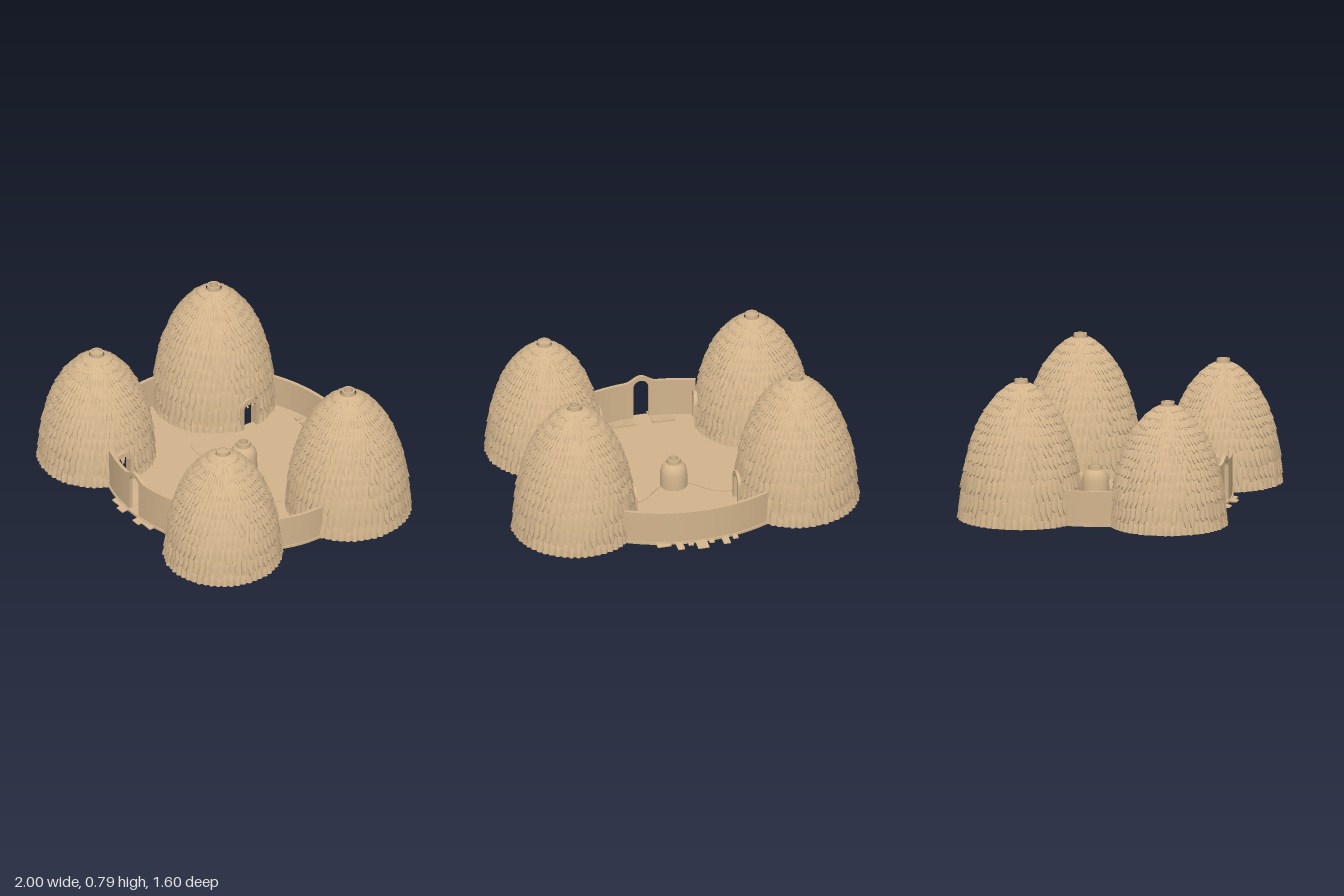
import * as THREE from 'three';
import { toCreasedNormals } from 'three/addons/utils/BufferGeometryUtils.js';

const clay = new THREE.MeshStandardMaterial({ color: 0xd2b48c });
const CZ = -0.045, RX = 0.8, RZ = 0.685; // courtyard ellipse
const HUTS = [];
for (const s of [-1, 1]) {
  HUTS.push({ x: s * 0.64, z: -0.38, R: 0.345, H: 0.77, top: 0.79, open: true, s, turn: 0 });
  HUTS.push({ x: s * 0.6, z: 0.46, R: 0.325, H: 0.68, top: 0.7, open: false, s, turn: 0.15 });
}

function hash(a, b, c) {
  const v = Math.sin(a * 12.9898 + b * 78.233 + c * 37.719) * 43758.5453;
  return v - Math.floor(v);
}

function part(name, geometry, parent) {
  const m = new THREE.Mesh(geometry, clay);
  m.name = name;
  parent.add(m);
  return m;
}

// Closed surface of revolution with a free rule: at(row, col) gives [radius, y]
function roundGrid(rows, cols, at, skip, inward) {
  const pos = [], idx = [];
  for (let i = 0; i < rows; i++) for (let j = 0; j < cols; j++) {
    const [r, y] = at(i, j), a = ((j + 0.5) / cols) * Math.PI * 2;
    pos.push(r * Math.sin(a), y, r * Math.cos(a));
  }
  for (let i = 0; i < rows - 1; i++) for (let j = 0; j < cols; j++) {
    if (skip(i, j)) continue;
    const k = (j + 1) % cols;
    const a = i * cols + j, b = i * cols + k, c = a + cols, d = b + cols;
    if (inward) idx.push(a, d, b, a, c, d);
    else idx.push(a, b, d, a, d, c);
  }
  const g = new THREE.BufferGeometry();
  g.setAttribute('position', new THREE.Float32BufferAttribute(pos, 3));
  g.setIndex(idx);
  return toCreasedNormals(g, 0.6);
}

// Beehive outline: height fraction to radius fraction
const OUTLINE = [[0, 1], [0.26, 0.955], [0.39, 0.905], [0.52, 0.835], [0.65, 0.74], [0.78, 0.605], [0.91, 0.39], [0.97, 0.24], [1, 0.13]];
function outline(t) {
  for (let i = 1; i < OUTLINE.length; i++) {
    const [t0, r0] = OUTLINE[i - 1], [t1, r1] = OUTLINE[i];
    if (t <= t1) return r0 + (r1 - r0) * (t - t0) / (t1 - t0);
  }
  return OUTLINE[OUTLINE.length - 1][1];
}

const TIERS = [0, 0.13, 0.26, 0.37, 0.46, 0.54, 0.61, 0.68, 0.74, 0.8, 0.86, 0.92, 0.97, 1];

function archShape(w, h) {
  const s = new THREE.Shape();
  s.moveTo(-w, 0);
  s.lineTo(w, 0);
  s.lineTo(w, h - w);
  s.absarc(0, h - w, w, 0, Math.PI, false);
  s.lineTo(-w, 0);
  return s;
}

function makeHut(h, seed) {
  const g = new THREE.Group();
  g.name = 'hut';
  const { R, H } = h, COLS = 168, doorH = 0.18;
  // Overlapping thatch tiers made of tufts with uneven ends
  const at = (i, j) => {
    const k = Math.floor(i / 3), step = i % 3;
    const t0 = TIERS[k], t1 = TIERS[k + 1] ?? 1;
    if (k >= TIERS.length - 1) return [R * 0.13, H];
    const tuft = Math.floor((j + k * 2) / 3) % 56, groove = (j + k * 2) % 3 === 2;
    const big = 0.45 + 0.55 * outline(t0);
    const out = (groove ? 0.002 : 0.008 + 0.008 * hash(tuft, k, seed)) * big;
    const drop = k === 0 || groove ? 0 : (0.1 + 0.55 * hash(tuft, k + 20, seed)) * (t1 - t0);
    const low = t0 - drop, mid = t0 + (t1 - t0) * 0.45;
    if (step === 0) return [R * outline(low) - 0.002, low * H];
    if (step === 1) return [R * outline(low) + out, low * H];
    return [R * outline(mid) + out * 0.6, mid * H];
  };
  const nearDoor = (j, n) => Math.abs(Math.sin(((j + 1) / n) * Math.PI)) < 0.085;
  part('thatch', roundGrid((TIERS.length - 1) * 3 + 1, COLS, at,
    (i, j) => nearDoor(j, COLS) && at(i + 1, j)[1] < doorH), g);
  // Inner lining
  part('lining', roundGrid(19, 64, i => [Math.max(R * outline(i / 18) - 0.035, 0.03), i / 18 * H],
    (i, j) => nearDoor(j, 64) && (i + 1) / 18 * H < doorH, true), g);
  part('footRing', new THREE.RingGeometry(R - 0.035, R + 0.006, 64).rotateX(Math.PI / 2), g);
  // Smoke hole collar
  const c = [[0.028, H - 0.02], [0.028, h.top], [0.037, h.top], [0.039, H - 0.01]].reverse();
  part('smokeCollar', toCreasedNormals(new THREE.LatheGeometry(c.map(p => new THREE.Vector2(...p)), 32), 0.5), g);
  if (!h.open) part('smokeCap', new THREE.CylinderGeometry(0.029, 0.029, 0.008, 24).translate(0, h.top - 0.012, 0), g);
  // Arched doorway
  const frame = archShape(0.062, 0.205);
  frame.holes.push(archShape(0.043, 0.18));
  part('doorFrame', toCreasedNormals(new THREE.ExtrudeGeometry(frame, { depth: 0.055, bevelEnabled: false, curveSegments: 10 })
    .translate(0, 0, R - 0.05), 0.5), g);
  // Only the left huts have a base under them
  if (h.s > 0) part('hutBase', new THREE.CircleGeometry(R, 48).rotateX(Math.PI / 2), g);
  g.position.set(h.x, 0, h.z);
  g.rotation.y = -h.s * (Math.PI / 2 - h.turn);
  return g;
}

// Wall ribbon following the ellipse; columns are [angle, bottom, top]
function wallRibbon(columns) {
  const pos = [], idx = [], T = 0.02;
  for (const [a, lo, hi] of columns) {
    const s = Math.sin(a), c = Math.cos(a);
    const o = [RX * s, CZ + RZ * c], n = [(RX - T) * s, CZ + (RZ - T) * c];
    pos.push(o[0], lo, o[1], o[0], hi, o[1], n[0], hi, n[1], n[0], lo, n[1]);
  }
  for (let i = 0; i < columns.length - 1; i++) for (let k = 0; k < 4; k++) {
    const a = 4 * i + k, b = 4 * i + (k + 1) % 4;
    idx.push(a, a + 4, b + 4, a, b + 4, b);
  }
  const g = new THREE.BufferGeometry();
  g.setAttribute('position', new THREE.Float32BufferAttribute(pos, 3));
  g.setIndex(idx);
  return toCreasedNormals(g, 0.5);
}

function arc(from, to, n) {
  return Array.from({ length: n + 1 }, (_, i) => [from + (to - from) * i / n, 0, 0.2]);
}

function frontColumns() {
  const W = 0.045, cols = [];
  const top = x => 0.24 + (Math.abs(x) < 0.09 ? 0.037 * Math.cos(x / 0.09 * Math.PI / 2) ** 2 : 0);
  const add = (x, lo) => cols.push([Math.asin(x / RX), lo, top(x)]);
  for (let i = 0; i <= 16; i++) add(-0.31 + (0.31 - W) * i / 16, 0);
  for (let i = 0; i <= 16; i++) {
    const x = -W * Math.cos(i / 16 * Math.PI);
    add(x, 0.205 + Math.sqrt(Math.max(0, W * W - x * x)));
  }
  for (let i = 0; i <= 16; i++) add(W + (0.31 - W) * i / 16, 0);
  return cols;
}

// Courtyard floor, cut away where the huts stand
function floorGeometry() {
  const pts = [];
  for (let i = 0; i < 240; i++) {
    const a = i / 240 * Math.PI * 2, dx = Math.cos(a), dz = -Math.sin(a);
    let r = 1 / Math.hypot(dx / (RX + 0.006), dz / (RZ + 0.008));
    for (const h of HUTS) {
      const b = dx * h.x + dz * (h.z - CZ), q = h.R - 0.03;
      const disc = b * b - (h.x ** 2 + (h.z - CZ) ** 2 - q * q);
      if (disc > 0 && b > 0) r = Math.min(r, b - Math.sqrt(disc));
    }
    pts.push(new THREE.Vector2(dx * r, -(CZ + dz * r)));
  }
  const s = new THREE.Shape(pts);
  s.holes.push(new THREE.Path().absarc(0, 0.12, 0.03, 0, Math.PI * 2, true));
  return new THREE.ExtrudeGeometry(s, { depth: 0.014, bevelEnabled: false }).rotateX(-Math.PI / 2);
}

export function createModel() {
  const root = new THREE.Group();
  root.name = 'hutCompound';
  HUTS.forEach((h, i) => root.add(makeHut(h, i + 1)));

  part('floor', floorGeometry(), root);
  part('frontWallWithGate', wallRibbon(frontColumns()), root);
  part('leftWall', wallRibbon(arc(1.22, 1.66, 12)), root);
  part('rightWall', wallRibbon(arc(-1.66, -1.22, 12)), root);
  part('backWall', wallRibbon(arc(Math.PI - 0.57, Math.PI + 0.57, 40)), root);

  // Oven in the yard
  const oven = [[0.078, 0.01], [0.076, 0.1], [0.07, 0.125], [0.056, 0.148], [0.04, 0.158], [0.038, 0.185], [0.028, 0.185], [0.028, 0.01]];
  part('oven', toCreasedNormals(new THREE.LatheGeometry(oven.map(p => new THREE.Vector2(...p)), 36), 0.6), root)
    .position.z = -0.12;

  // Leaf-shaped yard mats beside the oven
  for (const s of [-1, 1]) {
    const m = new THREE.Shape();
    m.moveTo(s * 0.06, 0.12);
    m.bezierCurveTo(s * 0.15, 0.17, s * 0.17, 0.27, s * 0.28, 0.27);
    m.bezierCurveTo(s * 0.46, 0.28, s * 0.45, -0.01, s * 0.27, -0.015);
    m.bezierCurveTo(s * 0.17, -0.015, s * 0.15, 0.07, s * 0.06, 0.12);
    part('yardMat', new THREE.ExtrudeGeometry(m, { depth: 0.006, bevelEnabled: false, curveSegments: 16 })
      .rotateX(-Math.PI / 2).translate(0, 0.013, 0), root);
  }

  // Low sloping slabs at the wall foot: x, outer z, width
  for (const [x, z, w] of [[-0.2, -0.75, 0.03], [-0.14, -0.79, 0.04], [-0.06, -0.76, 0.03], [0, -0.806, 0.065], [0.06, -0.76, 0.03],
    [0.125, -0.79, 0.04], [0.21, -0.74, 0.08], [-0.075, 0.685, 0.055], [0.075, 0.685, 0.055], [-0.14, 0.66, 0.08], [0.14, 0.66, 0.08]]) {
    const inner = Math.sign(z) * 0.58 + CZ, g = new THREE.BoxGeometry(w, 0.024, Math.abs(z - inner));
    const p = g.attributes.position, d = Math.sign(z);
    for (let i = 0; i < p.count; i++) if (p.getY(i) > 0 && p.getZ(i) * d > 0) p.setY(i, -0.006);
    g.computeVertexNormals();
    part('footSlab', g.translate(x, 0.012, (z + inner) / 2), root);
  }
  return root;
}
